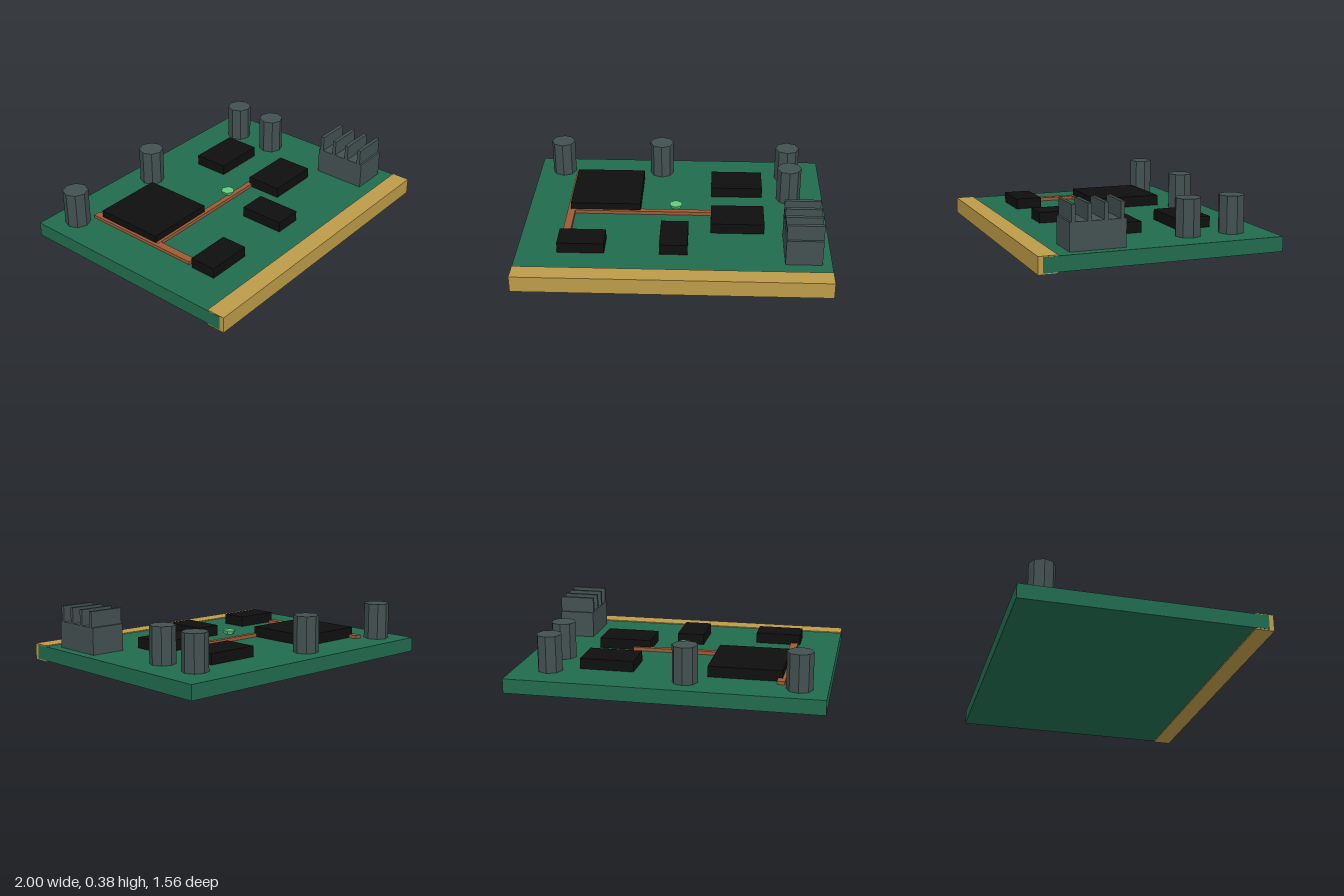
import * as THREE from 'three';

const mat = (name, color) => {
  const m = new THREE.MeshStandardMaterial({ color, flatShading: true });
  m.name = name;
  return m;
};

export function createModel() {
  const green = mat('board green', 0x216b4e);
  const gold = mat('contact gold', 0xbd9b48);
  const copper = mat('trace copper', 0x9e5a35);
  const black = mat('chip black', 0x0f0f0f);
  const grey = mat('metal grey', 0x435050);
  const lime = mat('lamp green', 0x62cc7c);

  const model = new THREE.Group();
  model.name = 'circuitBoard';

  const add = (name, geometry, material, x, y, z) => {
    const mesh = new THREE.Mesh(geometry, material);
    mesh.name = name;
    mesh.position.set(x, y, z);
    model.add(mesh);
  };
  // Box given by its extents on each axis
  const box = (name, material, [x0, x1], [y0, y1], [z0, z1]) =>
    add(name, new THREE.BoxGeometry(x1 - x0, y1 - y0, z1 - z0), material,
      (x0 + x1) / 2, (y0 + y1) / 2, (z0 + z1) / 2);

  const top = 0.102;

  // Board and the gold connector along its front edge
  box('board', green, [-1, 1], [0.008, top], [-0.78, 0.75]);
  box('edgeConnector', gold, [-0.999, 0.999], [0, 0.108], [0.66, 0.78]);

  // Copper traces
  box('longTrace', copper, [-0.705, 0.35], [top, 0.125], [-0.037, -0.002]);
  box('sideTrace', copper, [-0.73, -0.68], [top, 0.124], [-0.55, 0.28]);

  // Chips
  [
    [[-0.71, -0.24], [-0.49, -0.02]],
    [[0.235, 0.585], [-0.49, -0.255]],
    [[0.235, 0.585], [-0.02, 0.22]],
    [[-0.74, -0.44], [0.31, 0.485]],
    [[-0.09, 0.09], [0.19, 0.485]],
  ].forEach(([x, z], i) => box(`chip${i + 1}`, black, x, [top, 0.172], z));

  // Eight-sided capacitors
  [[-0.825, -0.605], [-0.12, -0.605], [0.765, -0.545], [0.765, -0.25]].forEach(([x, z], i) =>
    add(`capacitor${i + 1}`, new THREE.CylinderGeometry(0.082, 0.082, 0.238, 8), grey, x, top + 0.119, z));

  // Heat sink: block with upright fins
  box('heatSinkBlock', grey, [0.705, 0.937], [top, 0.276], [0.222, 0.573]);
  for (let i = 0; i < 4; i++) {
    const z = 0.247 + i * 0.1;
    box(`heatSinkFin${i + 1}`, grey, [0.705, 0.937], [0.27, 0.378], [z - 0.012, z + 0.012]);
  }

  // Small hexagonal lamp above the trace
  add('lamp', new THREE.CylinderGeometry(0.046, 0.032, 0.027, 6), lime, 0, 0.165, -0.02);

  return model;
}
